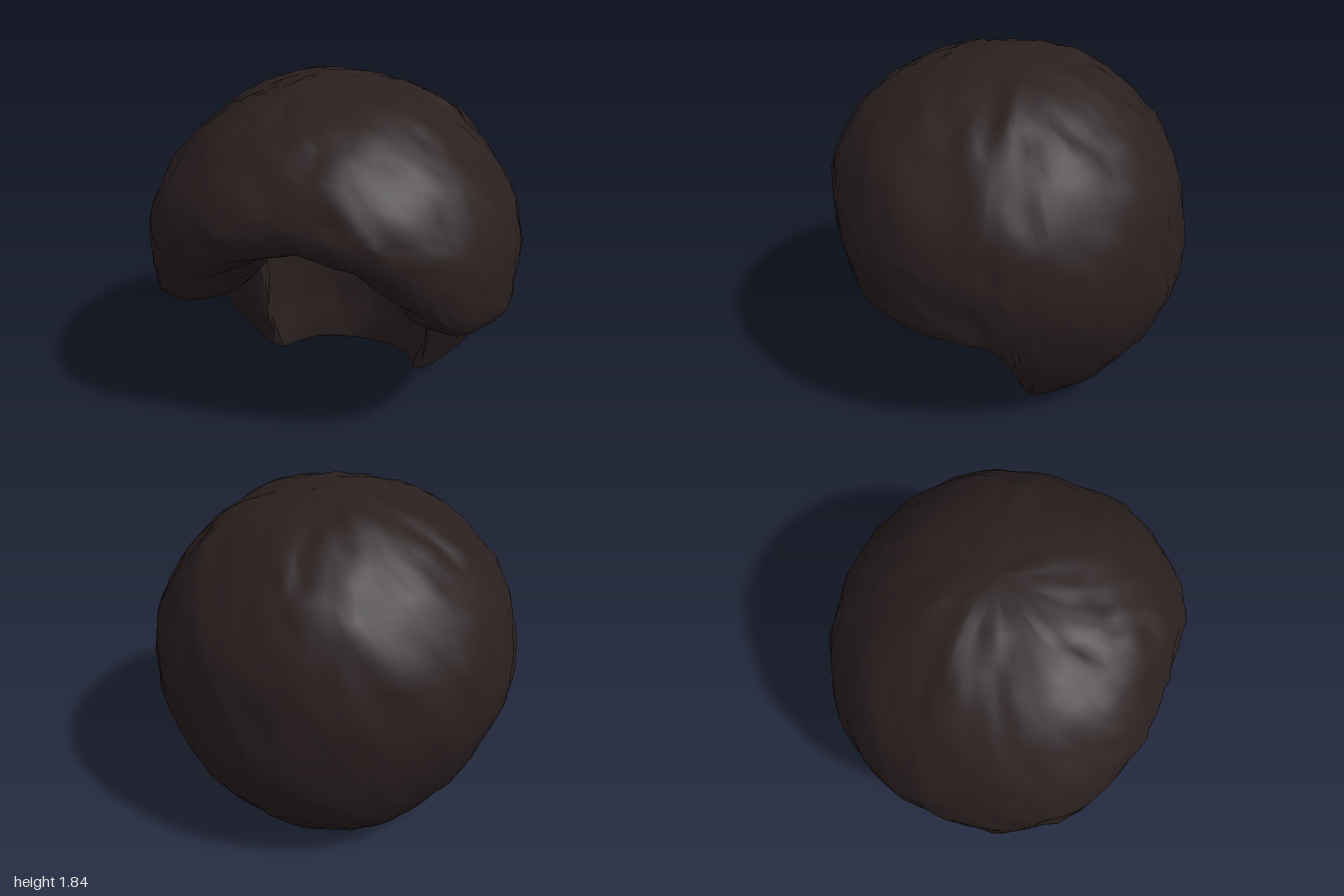
import * as THREE from 'three';
import { toCreasedNormals } from 'three/addons/utils/BufferGeometryUtils.js';

// Lip by azimuth in degrees from the front: [angle, lowest height, outer height, inner height]
const RIM = [
  [0, 1.14, 1.32, 1.22], [20, 1.07, 1.25, 1.17], [36, 0.91, 1.08, 1.06], [50, 0.71, 0.86, 0.95],
  [62, 0.66, 0.78, 0.88], [86, 0.65, 0.75, 0.84], [93, 0.64, 0.72, 0.76], [97, 0.58, 0.64, 0.63],
  [103, 0.37, 0.42, 0.41], [108, 0.16, 0.2, 0.19], [111, 0.04, 0.07, 0.06], [180, 0.025, 0.055, 0.055],
];

function rimAt(deg) {
  let k = 1;
  while (k < RIM.length - 1 && deg > RIM[k][0]) k++;
  const [a, b] = [RIM[k - 1], RIM[k]];
  const t = (deg - a[0]) / (b[0] - a[0]);
  return [1, 2, 3].map((j) => THREE.MathUtils.lerp(a[j], b[j], t));
}

// Head hollow: upright wall below, domed ceiling above
const CEILING = 1.32;
const dome = (y) => Math.sqrt(Math.max(0, 1 - Math.max(0, (y - 0.75) / (CEILING - 0.75)) ** 2));

// One closed cross-section: crown -> outer surface -> rounded lip -> hollow -> ceiling
function profile(deg) {
  const phi = THREE.MathUtils.degToRad(deg);
  const c = Math.cos(phi), s = Math.abs(Math.sin(phi));
  const n = c > 0 ? 2.5 : 2;
  const R = (s ** n + (Math.abs(c) / 0.925) ** n) ** (-1 / n) * 0.98;
  const cy = 0.9 + 0.38 * Math.max(0, c) ** 2;
  const up = 1.845 - cy;
  const [low, top, yi] = rimAt(deg);
  const end = Math.acos(Math.max(-1, (top - cy) / (top > cy ? up : 1)));
  // Below the widest line the back stays full and the sides draw in
  const full = c < 0 ? THREE.MathUtils.lerp(-0.06, 0.03, c * c) : 0;
  const wall = 1 / Math.hypot(s / 0.5, c / 0.47);
  const pts = [];
  const CROWN = 15, OUT = 25, LIP = 9, IN = 12;
  for (let k = 0; k <= OUT; k++) {
    const t = k <= CROWN ? (1.4 * k) / CROWN : THREE.MathUtils.lerp(1.4, end, (k - CROWN) / (OUT - CROWN));
    const q = Math.cos(t);
    pts.push([R * Math.sin(t) * (1 + full * Math.min(1, Math.max(0, -q) * 2.5)), cy + (q > 0 ? up : 1) * q]);
  }
  const ro = pts[OUT][0];
  const ri = Math.min(wall * dome(yi), ro - 0.06);
  for (let k = 1; k < LIP; k++) {
    const a = (Math.PI * k) / LIP, t = (1 - Math.cos(a)) / 2;
    const base = THREE.MathUtils.lerp(top, yi, t);
    pts.push([THREE.MathUtils.lerp(ro, ri, t), base - (base - low) * Math.sin(a) ** 0.8]);
  }
  for (let k = 0; k <= IN; k++) {
    const y = yi + (CEILING - yi) * Math.sin((Math.PI / 2) * (k / IN));
    pts.push([k === 0 ? ri : wall * dome(y), y]);
  }
  return pts;
}

// Repeatable lattice noise in -1..1
function hash(i, j, k, seed) {
  const v = Math.sin(i * 127.1 + j * 311.7 + k * 74.7 + seed * 53.3) * 43758.5453;
  return (v - Math.floor(v)) * 2 - 1;
}

function noise(p, cell, seed) {
  const [i, j, k] = p.map((v) => Math.floor(v / cell));
  const f = p.map((v) => v / cell - Math.floor(v / cell));
  let sum = 0;
  for (let n = 0; n < 8; n++) {
    const d = [n & 1, (n >> 1) & 1, n >> 2];
    const w = d.reduce((m, v, a) => m * (v ? f[a] : 1 - f[a]), 1);
    sum += w * hash(i + d[0], j + d[1], k + d[2], seed);
  }
  return sum;
}

function hairGeometry() {
  const half = [];
  for (let d = 0; d < 92; d += 4) half.push(d);
  for (let d = 92; d < 113; d += 2) half.push(d);
  for (let d = 116; d < 180; d += 4) half.push(d);
  const angles = [...half, 180, ...half.slice(1).reverse().map((d) => 360 - d)];

  const pos = [], index = [];
  const cols = angles.length;
  let rows = 0;
  for (const deg of angles) {
    const pts = profile(deg > 180 ? 360 - deg : deg);
    const phi = THREE.MathUtils.degToRad(deg);
    rows = pts.length;
    for (const [r, y] of pts) {
      const p = [r * Math.sin(phi), y, r * Math.cos(phi)];
      // Clumps of hair: broad lumps plus smaller tufts
      const q = p.map((v, a) => v + 0.014 * noise(p, 0.17, a) + 0.016 * noise(p, 0.08, a + 5));
      pos.push(q[0], Math.max(0, q[1]), q[2]);
    }
  }
  for (let i = 0; i < cols; i++) {
    const a = i * rows, b = ((i + 1) % cols) * rows;
    for (let k = 0; k < rows - 1; k++) {
      if (k < rows - 2) index.push(a + k, a + k + 1, b + k + 1);
      else index.push(a + k, a + k + 1, b + k);
      if (k > 0 && k < rows - 2) index.push(a + k, b + k + 1, b + k);
    }
  }
  const geo = new THREE.BufferGeometry();
  geo.setAttribute('position', new THREE.Float32BufferAttribute(pos, 3));
  geo.setIndex(index);
  return toCreasedNormals(geo, 0.7);
}

export function createModel() {
  const group = new THREE.Group();
  group.name = 'roundHair';
  const darkBrown = new THREE.MeshStandardMaterial({ color: 0x2a1f1f });
  darkBrown.name = 'darkBrown';
  const hair = new THREE.Mesh(hairGeometry(), darkBrown);
  hair.name = 'hairVolume';
  group.add(hair);
  return group;
}
